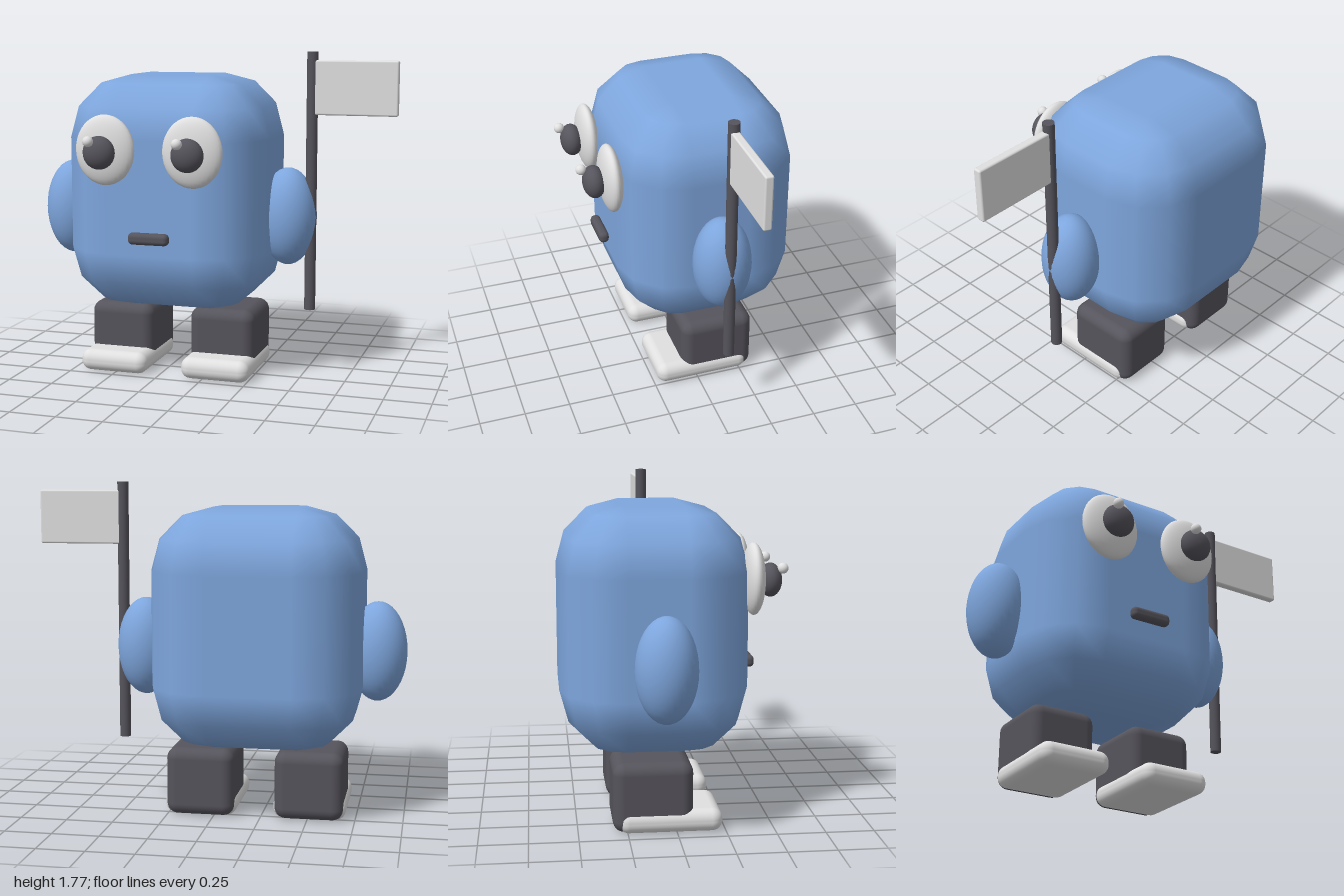
import * as THREE from 'three';
import { RoundedBoxGeometry } from 'three/addons/geometries/RoundedBoxGeometry.js';

const material = (name, color) => {
  const m = new THREE.MeshStandardMaterial({ color });
  m.name = name;
  return m;
};

// Box with coarse, three-step rounded edges and smooth normals
function softBox(w, h, d, r) {
  const cols = 16, rows = 9;
  const g = new THREE.SphereGeometry(1, cols, rows);
  const { position, normal } = g.attributes;
  const dir = new THREE.Vector3();
  for (let j = 0; j <= rows; j++) {
    const pole = j === 0 || j === rows;
    const step = j < 5 ? j - 1 : j - 2;
    const theta = pole ? (j ? Math.PI : 0) : step * Math.PI / 6;
    const sy = j < 5 ? 1 : -1;
    for (let i = 0; i <= cols; i++) {
      const q = Math.floor((i % cols) / 4);
      const phi = (q + (i % 4) / 3) * Math.PI / 2;
      const mid = (q + 0.5) * Math.PI / 2;
      const sx = pole ? 0 : -Math.sign(Math.cos(mid));
      const sz = pole ? 0 : Math.sign(Math.sin(mid));
      dir.set(-Math.cos(phi) * Math.sin(theta), Math.cos(theta), Math.sin(phi) * Math.sin(theta));
      const n = j * (cols + 1) + i;
      position.setXYZ(n, sx * (w / 2 - r) + dir.x * r, sy * (h / 2 - r) + dir.y * r, sz * (d / 2 - r) + dir.z * r);
      normal.setXYZ(n, dir.x, dir.y, dir.z);
    }
  }
  return g;
}

const ellipsoid = (rx, ry, rz) => new THREE.SphereGeometry(1, 32, 20).scale(rx, ry, rz);

export function createModel() {
  const blue = material('blue', 0x7ea6dd);
  const dark = material('charcoal', 0x56545c);
  const white = material('white', 0xe0e0e0);

  const model = new THREE.Group();
  model.name = 'flagBearer';
  const add = (name, geometry, mat, x, y, z) => {
    const mesh = new THREE.Mesh(geometry, mat);
    mesh.name = name;
    mesh.position.set(x, y, z);
    model.add(mesh);
  };

  // Body, offset to leave room for the flag
  const cx = -0.218;
  add('body', softBox(1.115, 1.275, 0.97, 0.335), blue, cx, 1.003, -0.095);

  // Mirrored parts
  for (const [side, s] of [['left', 1], ['right', -1]]) {
    add(side + 'Arm', ellipsoid(0.155, 0.265, 0.155), blue, cx + s * 0.628, 0.88, -0.073);

    add(side + 'Leg', new RoundedBoxGeometry(0.365, 0.362, 0.41, 4, 0.06), dark, cx + s * 0.29, 0.184, -0.12);
    add(side + 'Shoe', new RoundedBoxGeometry(0.385, 0.12, 0.53, 4, 0.055), white, cx + s * 0.291, 0.06, -0.032);

    const ex = cx + s * 0.239;
    add(side + 'Eye', ellipsoid(0.162, 0.185, 0.057), white, ex, 1.262, 0.412);
    add(side + 'Pupil', ellipsoid(0.086, 0.087, 0.06), dark, ex, 1.256, 0.498);
    add(side + 'Glint', ellipsoid(0.028, 0.028, 0.028), white, ex - 0.036, 1.318, 0.556);
  }

  // Mouth
  add('mouth', new RoundedBoxGeometry(0.222, 0.063, 0.055, 3, 0.024), dark, cx, 0.803, 0.42);

  // Flag and pole
  add('flagPole', new THREE.CylinderGeometry(0.03, 0.03, 1.395, 20), dark, 0.535, 1.068, -0.073);
  add('flag', new RoundedBoxGeometry(0.46, 0.29, 0.045, 2, 0.01), white, 0.765, 1.577, -0.073);

  return model;
}
